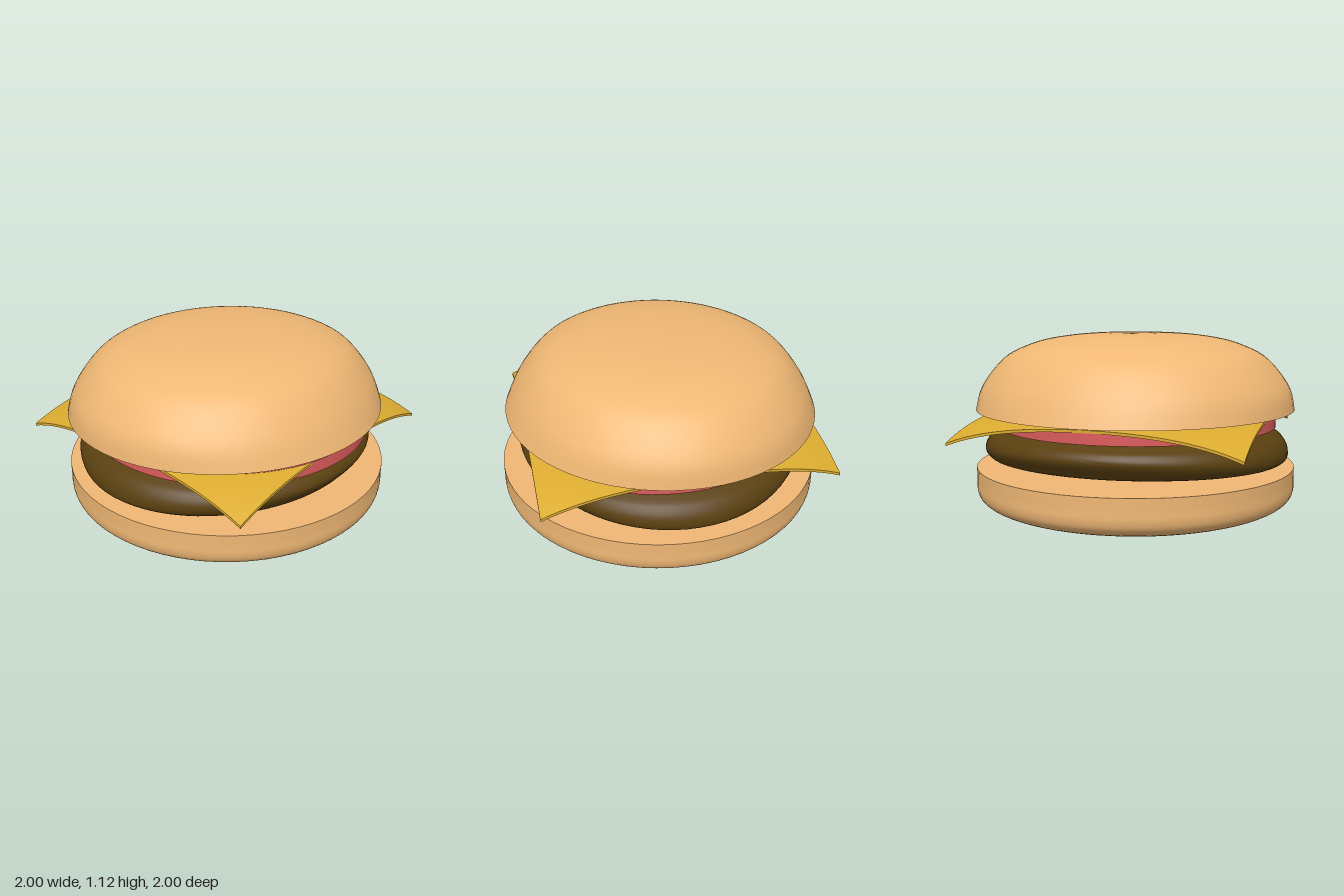
import * as THREE from 'three';
import { mergeVertices, toCreasedNormals } from 'three/addons/utils/BufferGeometryUtils.js';

const paint = (color) => new THREE.MeshStandardMaterial({ color });

function smooth(geometry) {
  geometry.deleteAttribute('uv');
  geometry.deleteAttribute('normal');
  return toCreasedNormals(mergeVertices(geometry, 1e-5), 0.7);
}

// Smooth a profile of [radius, y] points; base/cap add sharp flat ends on the axis.
function profile(points, { base = false, cap = false } = {}) {
  const curve = new THREE.SplineCurve(points.map(([r, y]) => new THREE.Vector2(r, y)));
  const result = curve.getPoints(36);
  if (base) result.unshift(new THREE.Vector2(0, points[0][1]));
  if (cap) result.push(new THREE.Vector2(0, points.at(-1)[1]));
  return result;
}

// Turned body whose outline blends from one profile along x to another along z.
function roundBody(alongX, alongZ, ends, segments = 72) {
  const px = profile(alongX, ends);
  const pz = profile(alongZ, ends);
  const geometry = new THREE.LatheGeometry(px, segments);
  const pos = geometry.attributes.position;
  for (let i = 0; i < pos.count; i++) {
    const a = px[i % px.length];
    const b = pz[i % px.length];
    const phi = (Math.floor(i / px.length) % segments) / segments * Math.PI * 2;
    const s = Math.sin(phi), c = Math.cos(phi);
    pos.setXYZ(i, a.x * s, a.y * s * s + b.y * c * c, b.x * c);
  }
  return smooth(geometry);
}

// Square slice whose corners droop
function drapedSlice(size, thickness, topY) {
  const geometry = new THREE.BoxGeometry(size, thickness, size, 36, 1, 36);
  const pos = geometry.attributes.position;
  for (let i = 0; i < pos.count; i++) {
    const r = Math.hypot(pos.getX(i), pos.getZ(i)) / (size / 2);
    pos.setY(i, pos.getY(i) + topY - thickness / 2 - 0.033 * r ** 4.4);
  }
  return smooth(geometry);
}

export function createModel() {
  const group = new THREE.Group();
  const bun = paint(0xefb774);
  const add = (name, geometry, material) => {
    const mesh = new THREE.Mesh(geometry, material);
    mesh.name = name;
    group.add(mesh);
    return mesh;
  };

  // Bottom bun: rounded below, flat on top
  const heel = [[0, 0.005], [0.3, 0.009], [0.6, 0.022], [0.8, 0.043], [0.92, 0.075],
    [0.98, 0.115], [1, 0.165], [1, 0.23], [1, 0.3]];
  add('bottomBun', roundBody(heel, heel, { cap: true }), bun);

  // Patty: slightly oval and uneven
  add('patty', roundBody(
    [[0, 0.315], [0.6, 0.322], [0.79, 0.345], [0.835, 0.375], [0.882, 0.44],
      [0.875, 0.48], [0.835, 0.51], [0.7, 0.538], [0, 0.545]],
    [[0, 0.315], [0.6, 0.322], [0.88, 0.335], [0.95, 0.355], [0.962, 0.4],
      [0.94, 0.46], [0.88, 0.51], [0.72, 0.538], [0, 0.545]],
  ), paint(0x5a4010));

  // Tomato slice
  const tomato = add('tomatoSlice', new THREE.CylinderGeometry(0.875, 0.875, 0.075, 72), paint(0xdc5c5c));
  tomato.position.set(0.02, 0.582, 0.005);

  // Cheese slice
  add('cheeseSlice', drapedSlice(1.714, 0.016, 0.658), paint(0xdcac30));

  // Top bun: domed, slightly narrow and tilted
  const crown = add('topBun', roundBody(
    [[0.963, 0], [0.92, 0.095], [0.875, 0.175], [0.8, 0.275], [0.72, 0.345],
      [0.59, 0.405], [0.4, 0.445], [0.2, 0.46], [0, 0.463]],
    [[0.998, 0], [0.98, 0.095], [0.94, 0.175], [0.86, 0.275], [0.77, 0.345],
      [0.6, 0.412], [0.4, 0.447], [0.2, 0.461], [0, 0.463]],
    { base: true },
  ), bun);
  crown.position.set(-0.01, 0.657, -0.002);
  crown.rotation.z = 0.011;

  return group;
}
